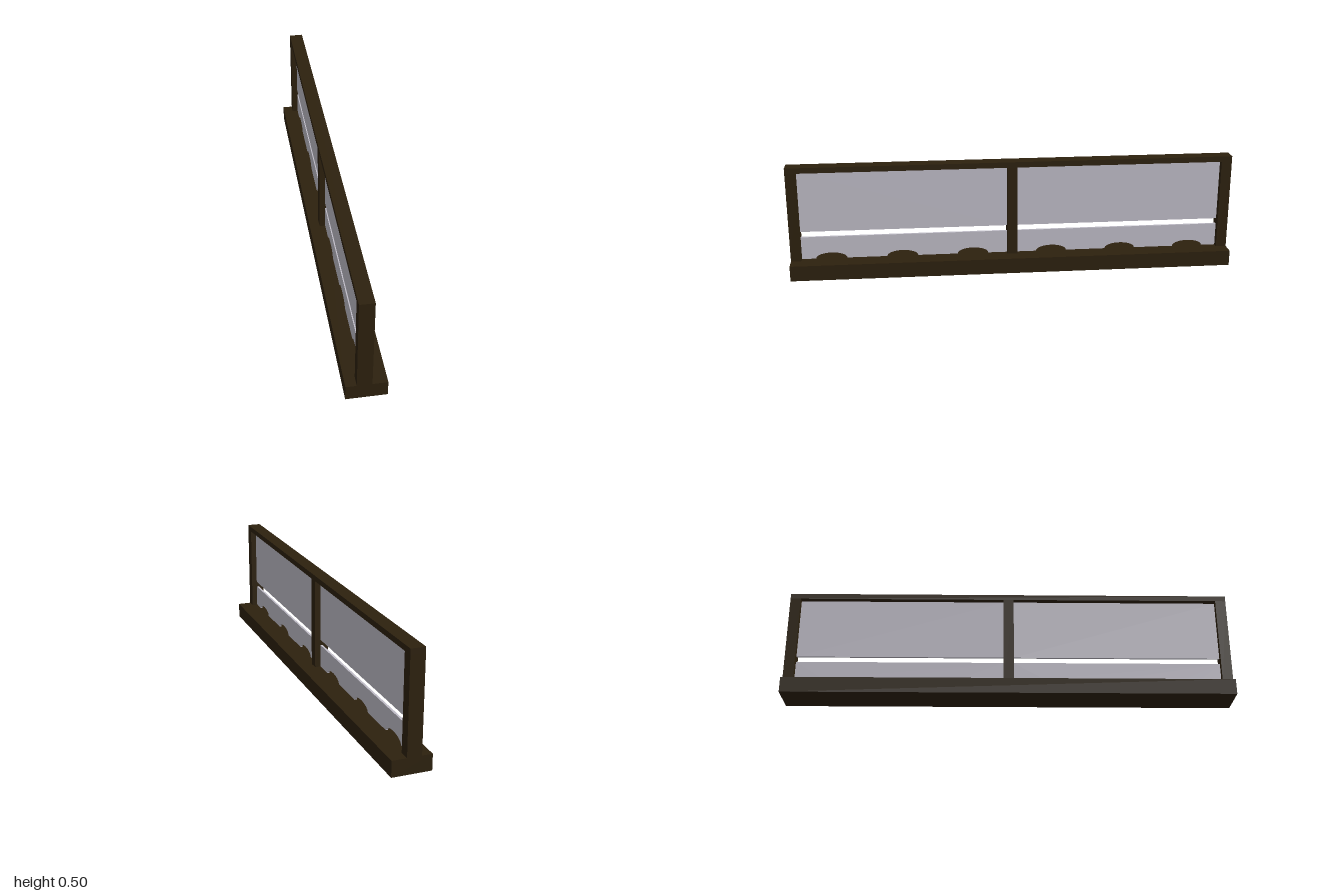
import * as THREE from 'three';

const wood = new THREE.MeshStandardMaterial({ color: 0x2d210e });
const glass = new THREE.MeshStandardMaterial({ color: 0xc1bec9 });

const BASE_TOP = 0.07, RAIL_BOTTOM = 0.48, TOP = 0.505;
const FRAME_X = -0.009, FRAME_DEPTH = 0.062, GLASS_DEPTH = 0.01;

// Box given by its lower and upper limits in y and z
function bar(name, x, depth, y0, y1, z0, z1) {
  const mesh = new THREE.Mesh(new THREE.BoxGeometry(depth, y1 - y0, z1 - z0), wood);
  mesh.position.set(x, (y0 + y1) / 2, (z0 + z1) / 2);
  mesh.name = name;
  return mesh;
}

// Pane outline drawn as (z, y), with half-oval openings cut from its lower edge
function pane(name, z0, z1, y0, y1, openings = []) {
  const shape = new THREE.Shape();
  shape.moveTo(z0, y0);
  for (const z of openings) {
    shape.lineTo(z - 0.07, y0);
    shape.absellipse(z, y0, 0.07, 0.027, Math.PI, 0, true, 0);
  }
  shape.lineTo(z1, y0);
  shape.lineTo(z1, y1);
  shape.lineTo(z0, y1);
  shape.closePath();
  const geometry = new THREE.ExtrudeGeometry(shape, { depth: GLASS_DEPTH, bevelEnabled: false, curveSegments: 16 });
  geometry.translate(0, 0, -GLASS_DEPTH / 2).rotateY(-Math.PI / 2);
  const mesh = new THREE.Mesh(geometry, glass);
  mesh.position.x = FRAME_X;
  mesh.name = name;
  return mesh;
}

export function createModel() {
  const model = new THREE.Group();
  model.name = 'glazedCounterScreen';

  // Base plank, posts and top rail
  model.add(bar('base', 0, 0.17, 0, BASE_TOP, -1, 1));
  model.add(bar('topRail', FRAME_X, FRAME_DEPTH, RAIL_BOTTOM, TOP, -1, 1));
  for (const [name, z0, z1] of [
    ['backPost', -1, -0.953],
    ['middlePost', -0.022, 0.024],
    ['frontPost', 0.953, 1],
  ]) model.add(bar(name, FRAME_X, FRAME_DEPTH, BASE_TOP, RAIL_BOTTOM, z0, z1));

  // Two bays, each with a tall upper pane and a low pane with pass-through openings
  for (const [bay, z0, z1, openings] of [
    ['back', -0.953, -0.022, [-0.82, -0.5, -0.18]],
    ['front', 0.024, 0.953, [0.18, 0.5, 0.82]],
  ]) {
    model.add(pane(bay + 'UpperPane', z0, z1, 0.2, RAIL_BOTTOM));
    model.add(pane(bay + 'LowerPane', z0, z1, BASE_TOP, 0.174, openings));
  }
  return model;
}
